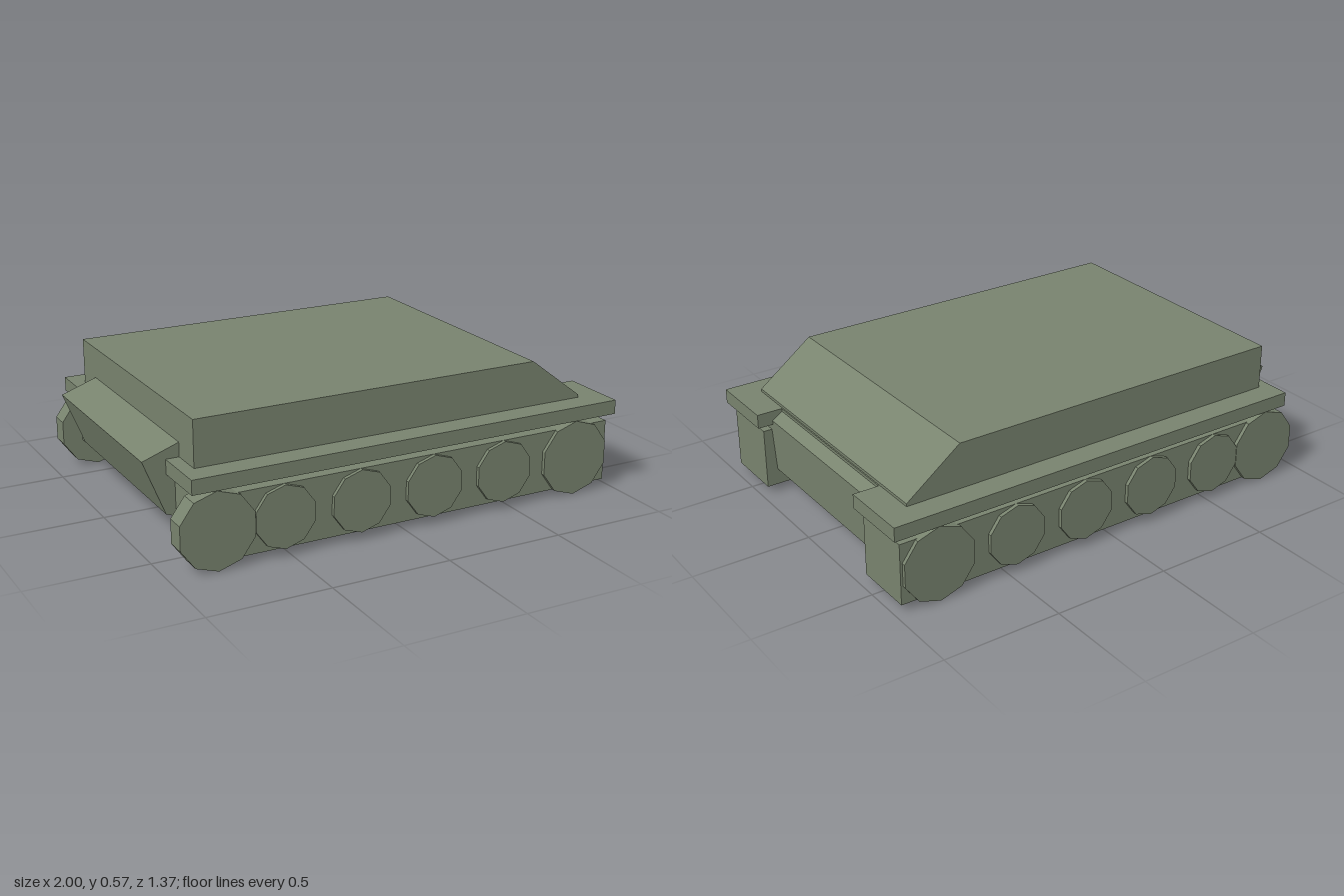
import * as THREE from 'three';

const material = new THREE.MeshStandardMaterial({ color: 0x78836e, flatShading: true });

// Extrudes a closed outline along z, centred on z = 0
function prism(points, depth) {
  const shape = new THREE.Shape(points.map(([x, y]) => new THREE.Vector2(x, y)));
  const geometry = new THREE.ExtrudeGeometry(shape, { depth, bevelEnabled: false });
  return geometry.translate(0, 0, -depth / 2);
}

export function createModel() {
  const model = new THREE.Group();
  model.name = 'trackedVehicle';

  const add = (name, geometry, x = 0, y = 0, z = 0) => {
    const mesh = new THREE.Mesh(geometry, material);
    mesh.name = name;
    mesh.position.set(x, y, z);
    model.add(mesh);
    return mesh;
  };

  // Lower hull with pointed tail and short sloped nose
  add('hull', prism([
    [-0.75, 0.105], [0.92, 0.105], [0.935, 0.342], [0.88, 0.38],
    [-0.84, 0.38], [-0.84, 0.447], [-1, 0.39], [-0.91, 0.165],
  ], 0.89));

  // Upper compartment with a sloped front plate
  add('superstructure', prism([
    [-0.85, 0.37], [0.885, 0.37], [0.885, 0.397], [0.65, 0.575], [-0.85, 0.575],
  ], 1.164));

  // Fender deck, cut back between the two front corners
  const deck = prism([
    [-0.905, -0.685], [1, -0.685], [1, -0.39], [0.89, -0.39],
    [0.89, 0.39], [1, 0.39], [1, 0.685], [-0.905, 0.685],
  ], 0.06);
  deck.rotateX(Math.PI / 2);
  add('fenderDeck', deck, 0, 0.355, 0);

  // Tracks and wheels on both sides
  const trackGeometry = prism([
    [-0.75, 0.035], [0.97, 0.035], [0.97, 0.295], [-0.87, 0.295], [-0.87, 0.12],
  ], 0.257);
  const wheelGeometry = (radius) =>
    new THREE.CylinderGeometry(radius, radius, 0.085, 10).rotateX(Math.PI / 2);
  const endWheel = wheelGeometry(0.16);
  const roadWheel = wheelGeometry(0.13);

  for (const side of [-1, 1]) {
    add('track', trackGeometry, 0, 0, side * 0.5365);
    for (const x of [-0.803, 0.808]) add('endWheel', endWheel, x, 0.163, side * 0.6385);
    for (let i = 0; i < 4; i++) {
      add('roadWheel', roadWheel, -0.525 + i * 0.328, 0.165, side * 0.6385);
    }
  }

  return model;
}
